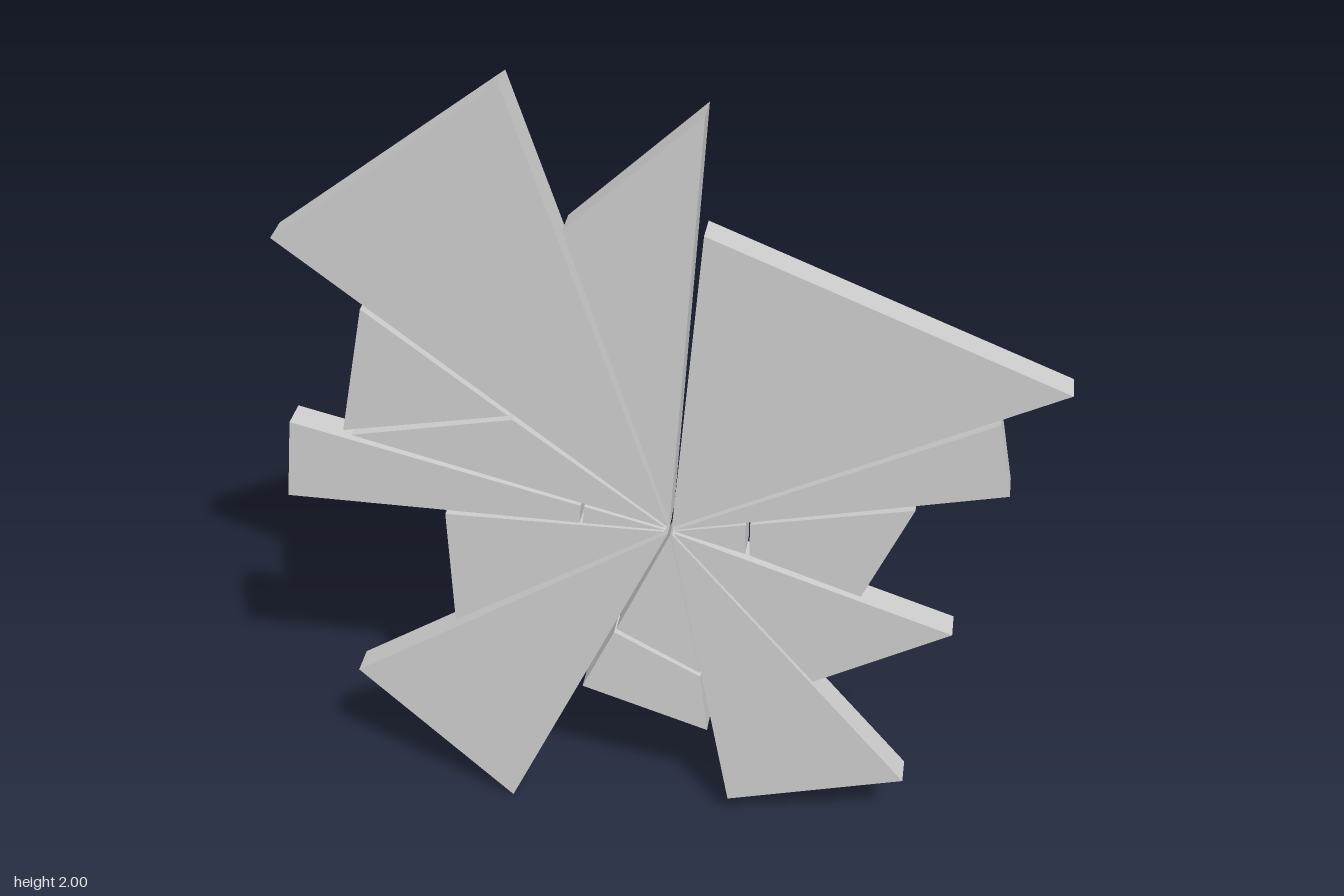
import * as THREE from 'three';

const DEPTH = 0.076;

// Outline of each shard, all fanning out from one impact point
const SHARDS = {
  upperLeftShard: [[0.005, 0.89], [-0.36, 2.0], [-0.9, 1.59]],
  topShard: [[0.01, 0.9], [0.085, 1.955], [-0.23, 1.66]],
  upperRightShard: [[0.015, 0.89], [0.915, 1.335], [0.085, 1.67]],
  rightShard: [[0.02, 0.883], [0.797, 1.055], [0.762, 1.245]],
  rightInnerChip: [[0.02, 0.879], [0.191, 0.831], [0.191, 0.914]],
  rightOuterChip: [[0.201, 0.828], [0.47, 0.735], [0.585, 0.995], [0.201, 0.916]],
  lowerRightShard: [[0.018, 0.873], [0.365, 0.465], [0.693, 0.645]],
  bottomRightShard: [[0.015, 0.868], [0.16, 0.06], [0.6, 0.175]],
  bottomInnerChip: [[0.01, 0.865], [-0.122, 0.573], [0.085, 0.46]],
  bottomOuterChip: [[-0.128, 0.562], [-0.21, 0.385], [0.105, 0.28], [0.086, 0.448]],
  bottomLeftShard: [[0.005, 0.87], [-0.785, 0.37], [-0.4, 0.003]],
  lowerLeftShard: [[-0.005, 0.875], [-0.535, 0.873], [-0.525, 0.557]],
  leftInnerChip: [[0, 0.88], [-0.195, 0.928], [-0.2, 0.881]],
  leftOuterShard: [[-0.207, 0.881], [-0.204, 0.93], [-0.9, 1.1], [-0.922, 0.89]],
  leftMiddleShard: [[0, 0.887], [-0.36, 1.156], [-0.752, 1.078]],
  leftUpperChip: [[-0.37, 1.166], [-0.705, 1.422], [-0.77, 1.09]],
};

export function createModel() {
  const group = new THREE.Group();
  group.name = 'shatteredPane';
  const material = new THREE.MeshStandardMaterial({ color: 0xcccccc, flatShading: true });

  for (const [name, outline] of Object.entries(SHARDS)) {
    const shape = new THREE.Shape(outline.map(([x, y]) => new THREE.Vector2(x, y)));
    const geometry = new THREE.ExtrudeGeometry(shape, { depth: DEPTH, bevelEnabled: false });
    geometry.translate(0, 0, -DEPTH / 2);
    const shard = new THREE.Mesh(geometry, material);
    shard.name = name;
    group.add(shard);
  }
  return group;
}
